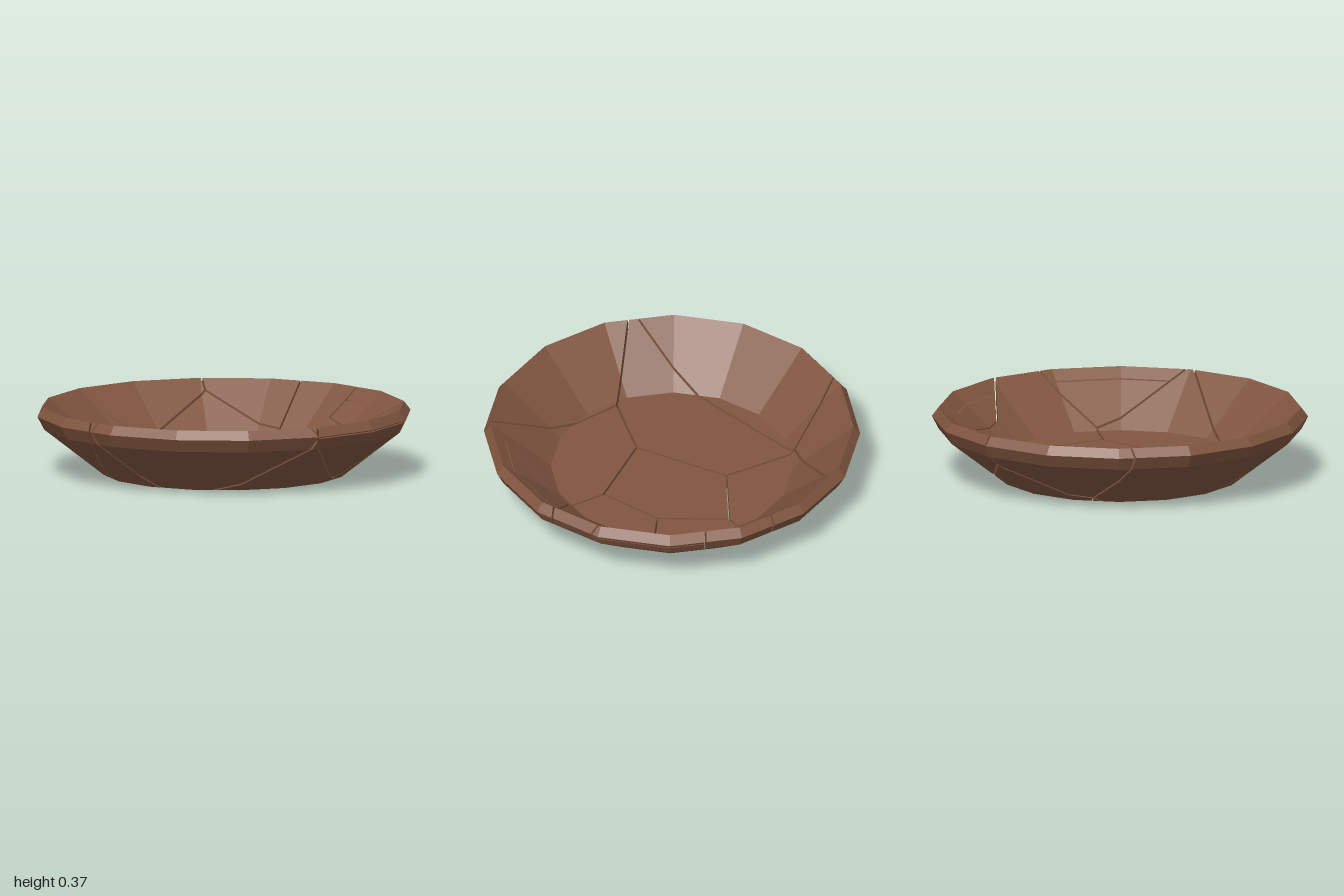
import * as THREE from 'three';

const SIDES = 16, GAP = 0.005;

// Convex wall cross-section as [radius, height]; the last edge joins the floor slab
const WALL = [[0.645, 0], [0.965, 0.25], [1, 0.318], [0.965, 0.365], [0.645, 0.09]];
const FLOOR_R = 0.645, FLOOR_Y = 0.09;

// Crack junctions in plan as [x, z]
const J = {
  A: [-0.12, -0.65], B: [0.08, -0.29], C: [0.46, -0.31], D: [0.46, 0.07],
  E: [0.25, 0.36], F: [-0.16, 0.19], G: [0.36, 0.54], H: [-0.53, 0.3],
  I: [0.57, -0.39], J: [0.36, -0.82], K: [0.75, 0.1], L: [0.75, -0.18],
  M: [0.77, 0.63], N: [0, 0.99], P: [-0.45, -0.87], Q: [0.39, -0.93],
  R: [0.9, 0.42], S: [0.98, -0.19], T: [0.82, -0.56], W: [-0.97, 0.235],
};

// Each shard: chains of cracks round it, uncracked seams, and a level crack if any
const SHARDS = [
  { name: 'backLeftShard', cracks: 'PAW' },
  { name: 'sideShard', cracks: 'ABFHWA' },
  { name: 'frontCornerShard', cracks: 'WHN' },
  { name: 'frontShard', cracks: 'NHFEGN' },
  { name: 'frontRimShard', cracks: 'NGM', level: 0.31 },
  { name: 'innerSideShard', cracks: 'MGEDKR' },
  { name: 'rimChip', cracks: 'RKLS', level: 0.3 },
  { name: 'centreShard', cracks: 'BCDEFB' },
  { name: 'backSideShard', cracks: 'KDCIT', seam: 'LK' },
  { name: 'backSideRim', cracks: 'SL IT', seam: 'KL' },
  { name: 'backCornerShard', cracks: 'TIJQ' },
  { name: 'innerBackShard', cracks: 'AJICBA' },
  { name: 'backShard', cracks: 'QJAP' },
];

const polar = (r, y, a) => new THREE.Vector3(r * Math.cos(a), y, r * Math.sin(a));

// The dish as convex wedges; faces between wedges are marked as hidden
function makeWedges() {
  const wedges = [];
  for (let i = 0; i < SIDES; i++) {
    const a = (i / SIDES) * Math.PI * 2, b = ((i + 1) / SIDES) * Math.PI * 2;
    const c0 = polar(0, 0, 0), c1 = polar(0, FLOOR_Y, 0);
    const a0 = polar(FLOOR_R, 0, a), a1 = polar(FLOOR_R, FLOOR_Y, a);
    const b0 = polar(FLOOR_R, 0, b), b1 = polar(FLOOR_R, FLOOR_Y, b);
    wedges.push([
      { p: [c1, b1, a1], show: true }, { p: [c0, a0, b0], show: true },
      { p: [c0, c1, a1, a0], show: false }, { p: [a0, a1, b1, b0], show: false },
      { p: [b0, b1, c1, c0], show: false },
    ]);
    const pa = WALL.map(([r, y]) => polar(r, y, a));
    const pb = WALL.map(([r, y]) => polar(r, y, b));
    const wall = pa.map((_, k) => {
      const n = (k + 1) % WALL.length;
      return { p: [pa[k], pa[n], pb[n], pb[k]], show: n !== 0 };
    });
    wall.push({ p: pa, show: false }, { p: pb, show: false });
    wedges.push(wall);
  }
  return wedges;
}

// Keep the part of a convex solid where n.p >= c, and close the cut
function clip(solid, { n, c, show }) {
  const out = [], cut = [];
  for (const face of solid) {
    const pts = [];
    face.p.forEach((p, i) => {
      const q = face.p[(i + 1) % face.p.length];
      const dp = n.dot(p) - c, dq = n.dot(q) - c;
      if (dp >= 0) pts.push(p);
      if ((dp >= 0) !== (dq >= 0)) {
        const x = p.clone().lerp(q, dp / (dp - dq));
        pts.push(x);
        if (!cut.some((o) => o.distanceTo(x) < 1e-6)) cut.push(x);
      }
    });
    if (pts.length > 2) out.push({ p: pts, show: face.show });
  }
  if (cut.length > 2) {
    const mid = cut.reduce((s, p) => s.add(p), new THREE.Vector3()).divideScalar(cut.length);
    const u = new THREE.Vector3(n.y, n.z, n.x).cross(n).normalize();
    const v = u.clone().cross(n);
    const angle = (p) => Math.atan2(p.clone().sub(mid).dot(v), p.clone().sub(mid).dot(u));
    cut.sort((p, q) => angle(p) - angle(q));
    out.push({ p: cut, show });
  }
  return out;
}

// Upright cutting planes along a chain of junctions
function planesAlong(chains, inset, show) {
  const planes = [];
  for (const chain of chains.split(' ')) {
    for (let i = 0; i + 1 < chain.length; i++) {
      const [x0, z0] = J[chain[i]], [x1, z1] = J[chain[i + 1]];
      const n = new THREE.Vector3(z0 - z1, 0, x1 - x0).normalize();
      planes.push({ n, c: n.x * x0 + n.z * z0 + inset, show });
    }
  }
  return planes;
}

function shardGeometry(wedges, planes) {
  const pos = [];
  for (const wedge of wedges) {
    for (const { p, show } of planes.reduce(clip, wedge)) {
      if (!show) continue;
      for (let i = 1; i + 1 < p.length; i++) {
        for (const q of [p[0], p[i], p[i + 1]]) pos.push(q.x, q.y, q.z);
      }
    }
  }
  const geo = new THREE.BufferGeometry();
  geo.setAttribute('position', new THREE.Float32BufferAttribute(pos, 3));
  geo.computeVertexNormals();
  return geo;
}

export function createModel() {
  const group = new THREE.Group();
  group.name = 'crackedDish';
  const clay = new THREE.MeshStandardMaterial({ color: 0x80553f });
  clay.name = 'brown clay';
  const wedges = makeWedges();
  const up = new THREE.Vector3(0, 1, 0), down = new THREE.Vector3(0, -1, 0);

  const add = (name, planes) => {
    const mesh = new THREE.Mesh(shardGeometry(wedges, planes), clay);
    mesh.name = name;
    group.add(mesh);
  };

  for (const { name, cracks, seam, level } of SHARDS) {
    const planes = planesAlong(cracks, GAP, true);
    if (seam) planes.push(...planesAlong(seam, 0, false));
    if (level) {
      // A level crack parts the rim from the wall below it
      add(name + 'Top', [...planes, { n: up, c: level + GAP * 0.6, show: true }]);
      add(name + 'Lower', [...planes, { n: down, c: -level + GAP * 0.6, show: true }]);
    } else add(name, planes);
  }
  return group;
}
